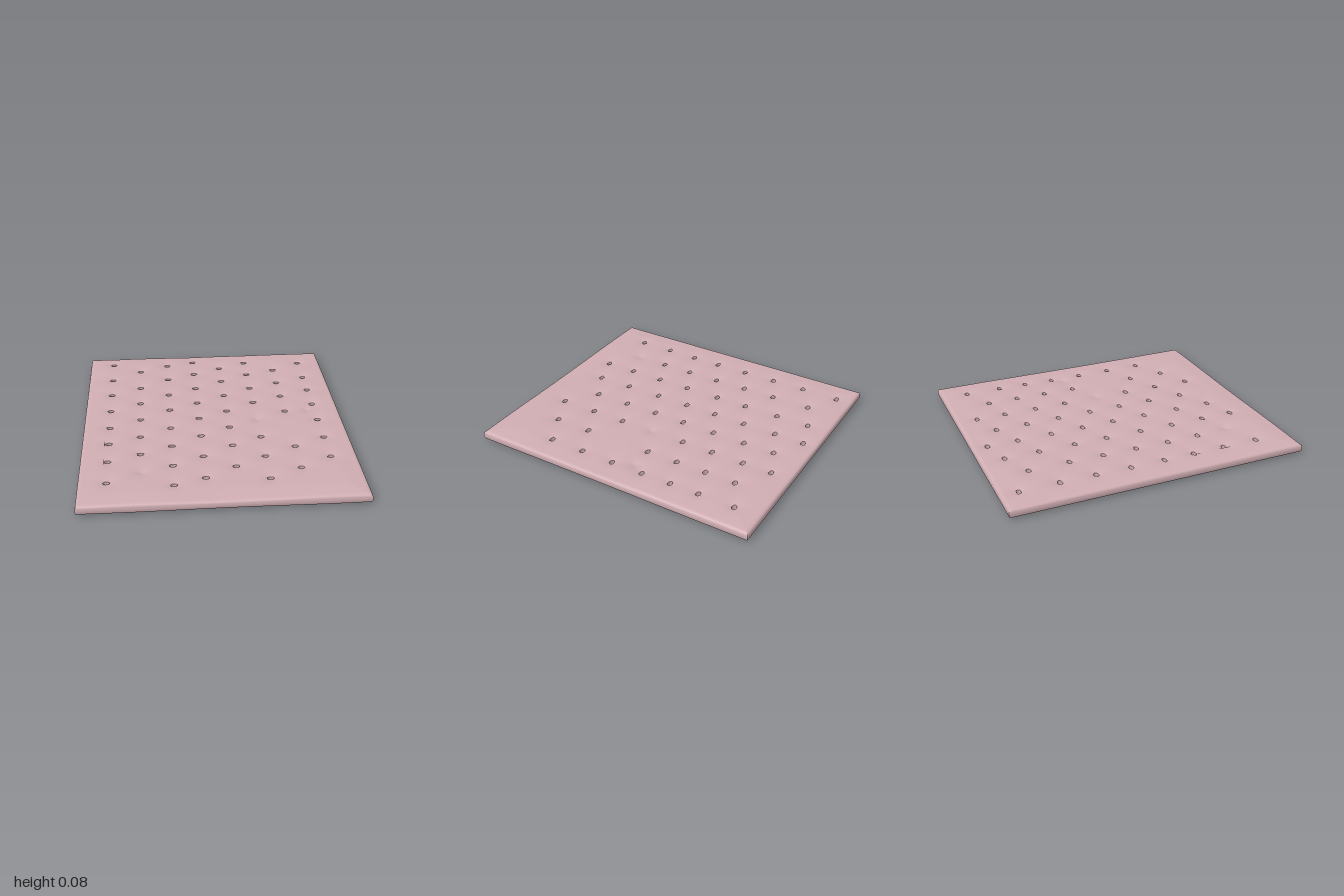
import * as THREE from 'three';

const HALF_X = 0.893, HALF_Z = 0.995, MID = 0.044;
const HOLE_RX = 0.024, HOLE_RZ = 0.016;

// Docking holes: columns of [x, z positions]
const columns = [
  [-0.715, [-0.88, -0.62, -0.385, -0.15, 0.08, 0.29, 0.51, 0.75]],
  [-0.507, [-0.75, -0.48, -0.25, -0.02, 0.21, 0.43]],
  [-0.3, [-0.84, -0.61, -0.365, -0.14, 0.11, 0.345, 0.58, 0.8]],
  [-0.1, [-0.895, -0.69, -0.455, -0.23, -0.005, 0.23, 0.485, 0.73]],
  [0.1, [-0.775, -0.56, -0.33, -0.095, 0.13, 0.365, 0.615]],
  [0.3, [-0.855, -0.655, -0.43, -0.21, 0.27, 0.51, 0.765]],
  [0.51, [-0.71, -0.5, -0.29, -0.07, 0.405, 0.66]],
  [0.72, [-0.815, -0.57, -0.37, -0.16, 0.065, 0.3, 0.545]],
];
const holes = columns.flatMap(([x, zs]) => zs.map((z) => [x, z]));
// Dents that do not go right through
const dents = [...holes, [-0.5, 0.65], [0.3, 0.035], [0.67, -0.08]];

// Height of the top (side 1) or bottom (side -1) face
function surfaceY(x, z, side) {
  const inset = Math.min(HALF_X - Math.abs(x), HALF_Z - Math.abs(z));
  const t = Math.max(0, 1 - inset / 0.035);
  const edge = Math.pow(Math.max(0, 1 - t ** 3), 1 / 3);
  const inner = Math.min(1, Math.max(0, inset) / 0.16);
  let h = 0.031 + 0.009 * inner * inner * (3 - 2 * inner) * (side > 0 ? 1 : 0.6);
  h += 0.0025 * Math.sin(5 * x + 1.3) * Math.cos(4 * z - 0.5);
  let dip = 0;
  for (const [hx, hz] of dents) {
    const d = Math.hypot(x - hx, z - hz);
    if (d < 0.3) dip += Math.exp(-d / 0.045);
  }
  h -= (side > 0 ? 0.021 : 0.012) * Math.min(1, dip);
  return MID + side * h * edge;
}

// Grid lines packed closer at the rounded border
function gridLines(half) {
  const inset = [0, 0.0008, 0.003, 0.007, 0.013, 0.022];
  const lines = inset.map((v) => -half + v);
  const start = half - 0.034, n = Math.round((2 * start) / 0.0125);
  for (let i = 0; i <= n; i++) lines.push(-start + (2 * start * i) / n);
  return lines.concat(inset.map((v) => half - v).reverse());
}

// One face of the slab, with open holes
function faceGeometry(side) {
  const xs = gridLines(HALF_X), zs = gridLines(HALF_Z);
  const pos = [], rim = [], index = [];
  for (const gz of zs) for (const gx of xs) {
    let x = gx, z = gz, inHole = false;
    for (const [hx, hz] of holes) {
      const dx = (x - hx) / HOLE_RX, dz = (z - hz) / HOLE_RZ;
      const d = Math.hypot(dx, dz);
      if (d < 1.1) {
        const a = Math.atan2(dz, dx);
        x = hx + HOLE_RX * Math.cos(a);
        z = hz + HOLE_RZ * Math.sin(a);
        inHole = true;
        break;
      }
    }
    pos.push(x, surfaceY(x, z, side), z);
    rim.push(inHole);
  }
  const addTri = (a, b, c) => {
    if (rim[a] && rim[b] && rim[c]) return;
    if (side > 0) index.push(a, b, c);
    else index.push(a, c, b);
  };
  const w = xs.length;
  for (let j = 0; j < zs.length - 1; j++) for (let i = 0; i < w - 1; i++) {
    const a = j * w + i, b = a + 1, c = a + w, d = c + 1;
    addTri(a, c, b);
    addTri(b, c, d);
  }
  const g = new THREE.BufferGeometry();
  g.setAttribute('position', new THREE.Float32BufferAttribute(pos, 3));
  g.setIndex(index);
  g.computeVertexNormals();
  return g;
}

// Wall lining one hole, following both faces
function holeWallGeometry(hx, hz) {
  const g = new THREE.CylinderGeometry(1, 1, 1, 12, 1, true);
  const p = g.attributes.position;
  for (let i = 0; i < p.count; i++) {
    const x = hx + p.getX(i) * HOLE_RX, z = hz + p.getZ(i) * HOLE_RZ;
    p.setXYZ(i, x, surfaceY(x, z, p.getY(i) > 0 ? 1 : -1), z);
  }
  g.computeVertexNormals();
  return g;
}

// Thin loose flake lying on the top face
function flakeGeometry(points) {
  const g = new THREE.BufferGeometry();
  const pos = points.flatMap(([x, z]) => [x, surfaceY(x, z, 1) + 0.003, z]);
  g.setAttribute('position', new THREE.Float32BufferAttribute(pos, 3));
  g.computeVertexNormals();
  return g;
}

export function createModel() {
  const group = new THREE.Group();
  group.name = 'dockedSlab';
  const crust = new THREE.MeshStandardMaterial({ color: 0xcfadb2, side: THREE.DoubleSide });
  crust.name = 'dusty pink';

  const add = (name, geometry, parent = group) => {
    const mesh = new THREE.Mesh(geometry, crust);
    mesh.name = name;
    parent.add(mesh);
  };

  add('topFace', faceGeometry(1));
  add('bottomFace', faceGeometry(-1));

  const walls = new THREE.Group();
  walls.name = 'holeWalls';
  for (const [x, z] of holes) add('holeWall', holeWallGeometry(x, z), walls);
  group.add(walls);

  add('backFlake', flakeGeometry([[-0.31, -0.75], [-0.1, -0.75], [-0.1, -0.82]]));
  add('sideFlake', flakeGeometry([[-0.74, 0.25], [-0.765, 0.52], [-0.74, 0.55]]));
  return group;
}
